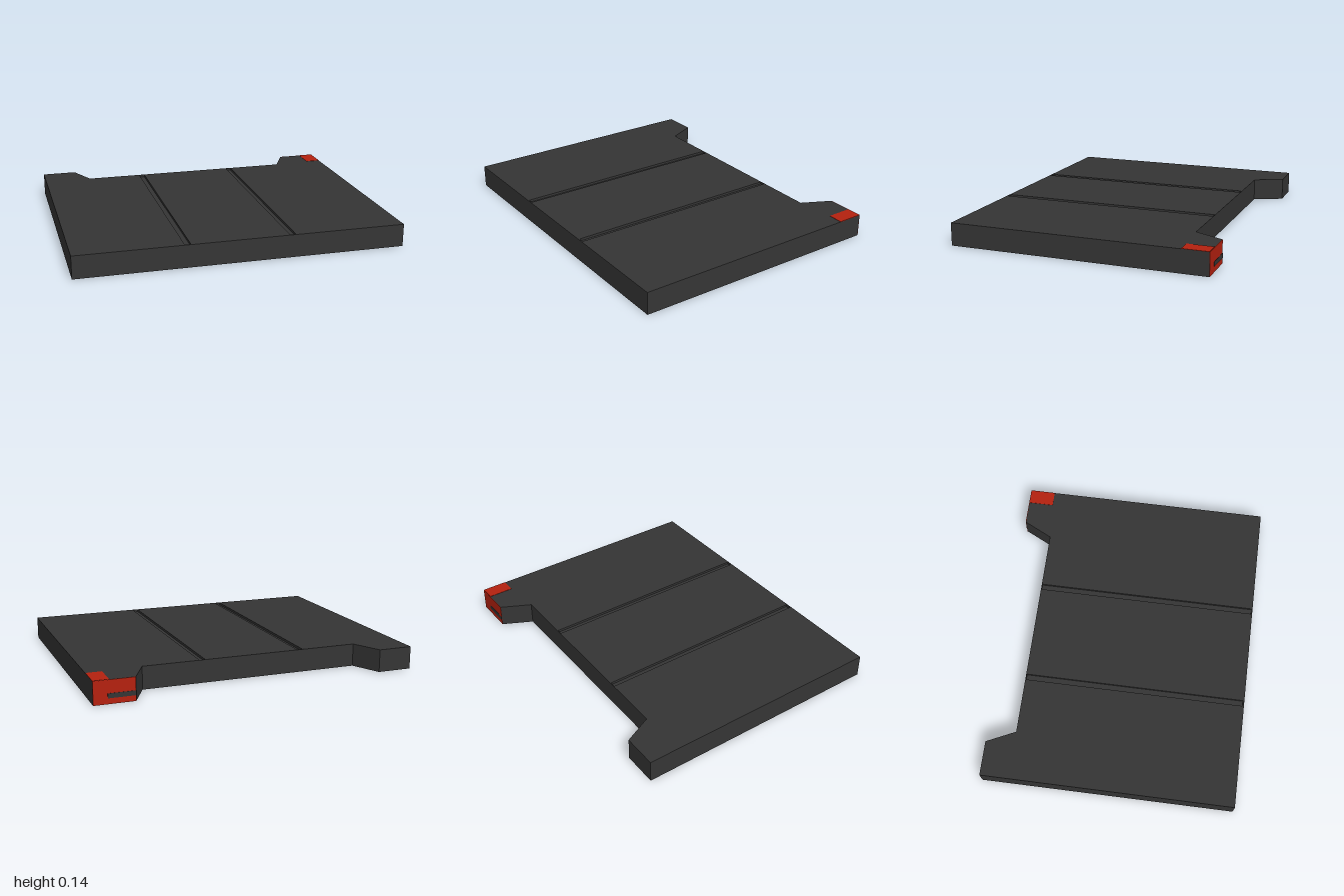
import * as THREE from 'three';

const H = 0.14;       // slab height
const GROOVE = 0.015; // groove depth
const BACK = -0.79, FRONT = 0.79, NOTCH = -0.61;

const charcoal = new THREE.MeshStandardMaterial({ color: 0x353535 });
charcoal.name = 'charcoal';
const red = new THREE.MeshStandardMaterial({ color: 0xb5210f });
red.name = 'red';

// Plan outline given as [x, z] corners
const outline = (pts) => pts.map(([x, z]) => new THREE.Vector2(x, -z));

function layer(name, y, height, grooved) {
  const shape = new THREE.Shape(outline([
    [-1, FRONT], [1, FRONT], [1, BACK], [0.755, BACK],
    [0.665, NOTCH], [-0.7, NOTCH], [-0.785, BACK], [-1, BACK],
  ]));
  // Two long grooves that stop just short of the edges
  if (grooved) {
    for (const x of [-0.335, 0.297]) {
      const a = x - 0.018, b = x + 0.018, z0 = NOTCH + 0.004, z1 = 0.782;
      shape.holes.push(new THREE.Path(outline([[a, z0], [b, z0], [b, z1], [a, z1]])));
    }
  }
  const geo = new THREE.ExtrudeGeometry(shape, { depth: height, bevelEnabled: false });
  geo.rotateX(-Math.PI / 2);
  const mesh = new THREE.Mesh(geo, charcoal);
  mesh.name = name;
  mesh.position.y = y;
  return mesh;
}

// Thin painted plate between two corners
function plate(name, material, [x0, y0, z0], [x1, y1, z1]) {
  const mesh = new THREE.Mesh(new THREE.BoxGeometry(x1 - x0, y1 - y0, z1 - z0), material);
  mesh.name = name;
  mesh.position.set((x0 + x1) / 2, (y0 + y1) / 2, (z0 + z1) / 2);
  return mesh;
}

export function createModel() {
  const model = new THREE.Group();
  model.name = 'notchedPanel';

  // Slab: solid core with grooved skins above and below
  model.add(
    layer('bottomSkin', 0, GROOVE, true),
    layer('core', GROOVE, H - 2 * GROOVE, false),
    layer('topSkin', H - GROOVE, GROOVE, true),
  );

  // Red corner marking, with a dark slot on its back face
  model.add(
    plate('topMarking', red, [0.905, H - 0.002, BACK], [1, H + 0.002, -0.63]),
    plate('backMarking', red, [0.755, 0, BACK - 0.002], [1, H, BACK + 0.002]),
    plate('backSlot', charcoal, [0.755, 0.034, BACK - 0.004], [0.917, 0.062, BACK]),
  );
  return model;
}
